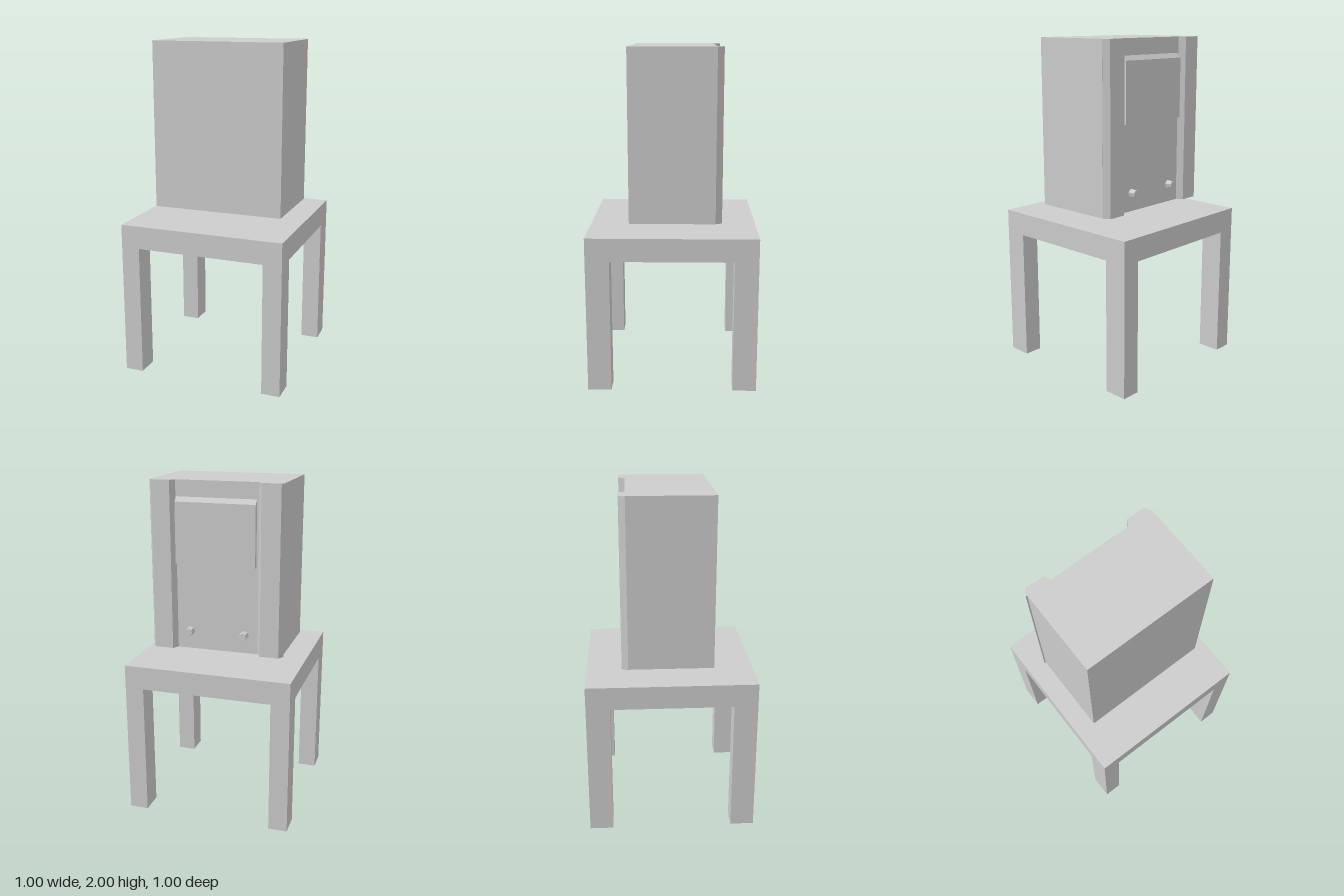
import * as THREE from 'three';

const gray = new THREE.MeshStandardMaterial({ color: 0xcccccc, side: THREE.DoubleSide });
gray.name = 'plain gray';

function add(parent, name, geometry, x = 0, y = 0, z = 0) {
  const mesh = new THREE.Mesh(geometry, gray);
  mesh.name = name;
  mesh.position.set(x, y, z);
  parent.add(mesh);
  return mesh;
}

// Box with its underside left open
function openBox(w, h, d) {
  const g = new THREE.BoxGeometry(w, h, d);
  const index = Array.from(g.index.array);
  index.splice(18, 6);
  g.setIndex(index);
  g.clearGroups();
  return g;
}

// Extrude a polygon given as [x, y] pairs
function prism(points, depth) {
  const shape = new THREE.Shape(points.map(([x, y]) => new THREE.Vector2(x, y)));
  return new THREE.ExtrudeGeometry(shape, { depth, bevelEnabled: false });
}

export function createModel() {
  const model = new THREE.Group();
  model.name = 'cabinetOnTable';

  // Table: hollow top and four hollow legs
  const table = new THREE.Group();
  table.name = 'table';
  model.add(table);
  add(table, 'tableTop', openBox(1, 0.138, 1), 0, 0.867, 0);
  for (const sx of [-1, 1]) {
    for (const sz of [-1, 1]) {
      add(table, 'leg', openBox(0.112, 0.798, 0.14), sx * 0.444, 0.399, sz * 0.43);
    }
  }

  // Cabinet hovering just above the table
  const cabinet = new THREE.Group();
  cabinet.name = 'cabinet';
  model.add(cabinet);
  add(cabinet, 'body', new THREE.BoxGeometry(0.8, 1, 0.5), 0.01, 1.5, 0);

  // Chamfered vertical rails on the back
  const rail = prism([[-0.078, 0.25], [0.078, 0.25], [0.056, 0.288], [-0.056, 0.288]], 1);
  rail.rotateX(-Math.PI / 2);
  for (const x of [-0.321, 0.331]) add(cabinet, 'rail', rail, x, 1, 0);

  // Raised panel with a sloping top edge
  const panel = prism([[-0.25, 1.52], [-0.25, 1.905], [-0.277, 1.878], [-0.277, 1.52]], 0.48);
  panel.rotateY(-Math.PI / 2);
  add(cabinet, 'panel', panel, 0.25, 0, 0);

  // Small faceted knobs
  const knob = new THREE.CylinderGeometry(0.022, 0.027, 0.04, 6).toNonIndexed();
  knob.computeVertexNormals();
  knob.rotateY(0.25);
  knob.rotateX(-Math.PI / 2);
  for (const x of [-0.162, 0.172]) add(cabinet, 'knob', knob, x, 1.11, -0.27);

  return model;
}
